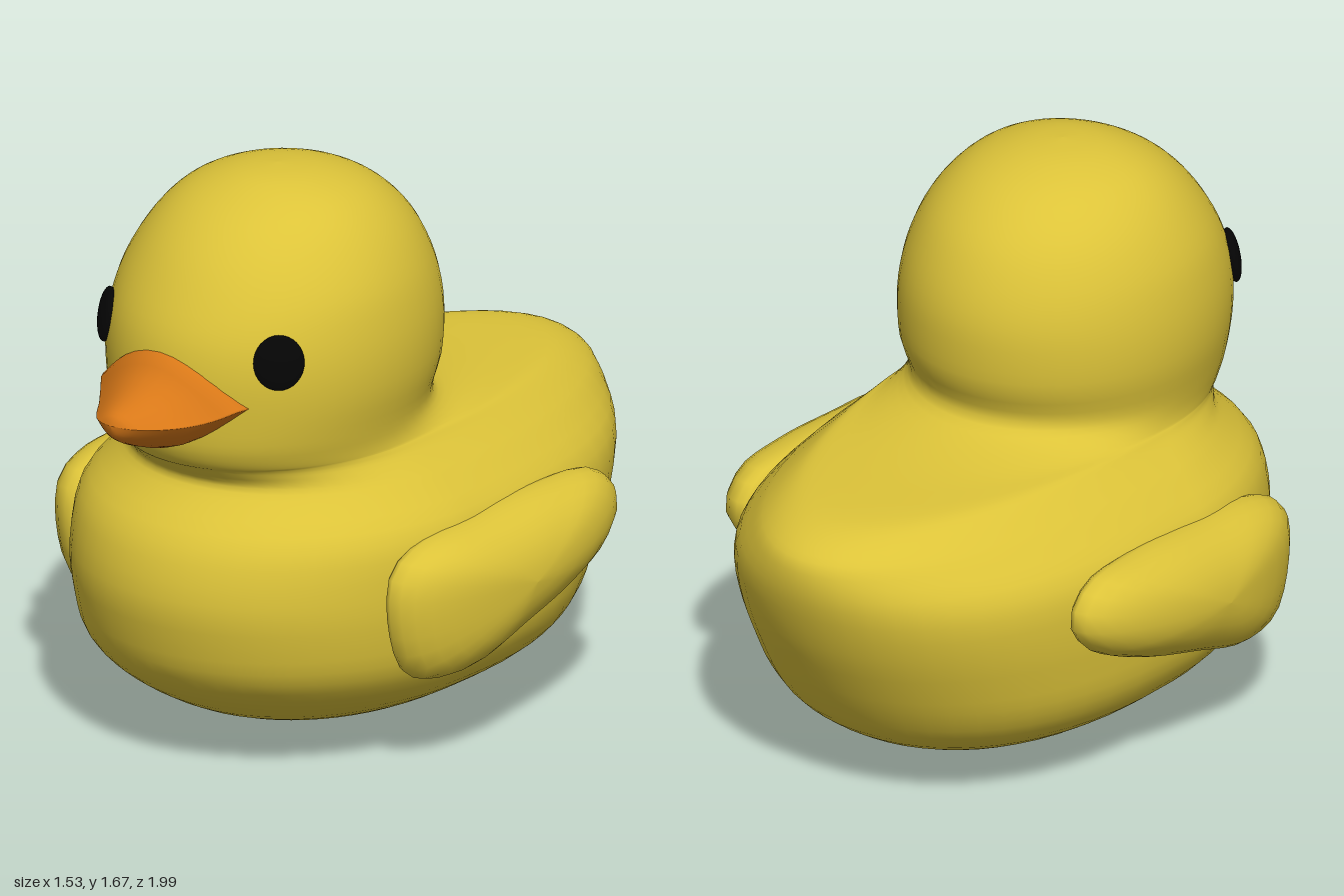
import * as THREE from 'three';

const yellow = new THREE.MeshStandardMaterial({ color: 0xdcc339 });
const orange = new THREE.MeshStandardMaterial({ color: 0xd87818 });
const black = new THREE.MeshStandardMaterial({ color: 0x050505 });

// Skin a list of closed rings; the first and last rings shrink to a point.
function loft(rings, flip = false) {
  const n = rings[0].length;
  const index = [];
  for (let r = 0; r < rings.length - 1; r++) {
    for (let i = 0; i < n; i++) {
      const a = r * n + i, b = r * n + (i + 1) % n, c = a + n, d = b + n;
      if (flip) index.push(a, c, b, b, c, d);
      else index.push(a, b, c, b, d, c);
    }
  }
  const geometry = new THREE.BufferGeometry();
  geometry.setAttribute('position', new THREE.Float32BufferAttribute(rings.flat(2), 3));
  geometry.setIndex(index);
  geometry.computeVertexNormals();
  return geometry;
}

function add(group, name, geometry, material) {
  const mesh = new THREE.Mesh(geometry, material);
  mesh.name = name;
  group.add(mesh);
  return mesh;
}

// Smoothly resample a table of rows, column by column.
function resample(rows, steps) {
  const out = [];
  const at = i => rows[THREE.MathUtils.clamp(i, 0, rows.length - 1)];
  for (let i = 0; i < rows.length - 1; i++) {
    for (let s = 0; s < steps; s++) {
      const t = s / steps;
      out.push(rows[i].map((_, k) => {
        const [p, a, b, q] = [at(i - 1)[k], at(i)[k], at(i + 1)[k], at(i + 2)[k]];
        const m0 = (b - p) / 2, m1 = (q - a) / 2;
        return a + m0 * t + (3 * (b - a) - 2 * m0 - m1) * t * t + (2 * (a - b) + m0 + m1) * t ** 3;
      }));
    }
  }
  out.push(rows[rows.length - 1]);
  return out;
}

// Body and head in one skin: height, half width, front z, back z, z of the widest point
function bodyGeometry() {
  const rows = [
    [0.005, 0, -0.02, -0.02, -0.02],
    [0.015, 0.11, 0.16, -0.18, 0],
    [0.05, 0.25, 0.36, -0.36, 0.02],
    [0.11, 0.39, 0.55, -0.57, 0.04],
    [0.20, 0.53, 0.71, -0.72, 0.07],
    [0.30, 0.60, 0.81, -0.80, 0.10],
    [0.42, 0.62, 0.85, -0.87, 0.12],
    [0.55, 0.625, 0.865, -0.935, 0.12],
    [0.70, 0.61, 0.82, -0.985, 0.12],
    [0.80, 0.53, 0.72, -0.99, 0.13],
    [0.85, 0.48, 0.68, -0.96, 0.15],
    [0.89, 0.44, 0.715, -0.88, 0.17],
    [0.91, 0.425, 0.735, -0.76, 0.20],
    [0.92, 0.42, 0.75, -0.48, 0.22],
    [0.95, 0.418, 0.77, -0.28, 0.25],
    [1.00, 0.425, 0.785, -0.20, 0.27],
    [1.10, 0.445, 0.79, -0.235, 0.27],
    [1.20, 0.45, 0.79, -0.245, 0.27],
    [1.30, 0.44, 0.77, -0.24, 0.27],
    [1.40, 0.415, 0.72, -0.21, 0.27],
    [1.50, 0.365, 0.65, -0.155, 0.26],
    [1.58, 0.30, 0.565, -0.075, 0.26],
    [1.635, 0.22, 0.47, 0.02, 0.26],
    [1.67, 0.11, 0.37, 0.14, 0.26],
    [1.68, 0, 0.26, 0.26, 0.26],
  ];
  const n = 56;
  const rings = resample(rows, 3).map(([y, w, front, back, mid]) => {
    // the lower body is fuller towards the tail
    const power = 0.8 + 0.2 * THREE.MathUtils.smoothstep(y, 0.6, 0.9);
    return Array.from({ length: n }, (_, i) => {
      const a = i / n * Math.PI * 2;
      const c = Math.cos(a), s = Math.sin(a);
      const z = c >= 0 ? mid + (front - mid) * c : mid - (mid - back) * Math.pow(-c, power);
      return [w * s, y, z];
    });
  });
  return loft(rings);
}

// Wing: a side outline in (z, y) swollen into a flattened pod
function wingGeometry(side) {
  const outline = new THREE.CatmullRomCurve3([
    [0.48, 0.50], [0.465, 0.63], [0.36, 0.69], [0.1, 0.715], [-0.2, 0.73], [-0.42, 0.705],
    [-0.49, 0.62], [-0.43, 0.52], [-0.25, 0.425], [0, 0.345], [0.25, 0.28], [0.41, 0.32],
  ].map(([z, y]) => new THREE.Vector3(0, y, z)), true).getSpacedPoints(40).slice(0, 40);
  const cy = 0.53, cz = 0.03, rings = [];
  for (let k = 0; k <= 16; k++) {
    const a = k / 16 * Math.PI;
    const r = Math.sin(a), c = Math.cos(a);
    const x = 0.595 + (c > 0 ? 0.17 : 0.1) * c;
    rings.push(outline.map(p => [side * x, cy + (p.y - cy) * r, cz + (p.z - cz) * r]));
  }
  return loft(rings, side < 0);
}

// Bill: z, half width, top and bottom of pinched diamond sections
function billGeometry() {
  const rows = [
    [0.70, 0, 1.12, 1.12],
    [0.71, 0.23, 1.24, 1.0],
    [0.785, 0.25, 1.255, 0.98],
    [0.83, 0.21, 1.205, 0.985],
    [0.88, 0.16, 1.165, 1.0],
    [0.94, 0.11, 1.14, 1.025],
    [0.985, 0.06, 1.12, 1.055],
    [1.0, 0, 1.09, 1.09],
  ];
  const n = 32;
  const rings = resample(rows, 3).map(([z, w, top, bottom]) => {
    const mid = Math.min(1.12, (top + bottom) / 2 + 0.005);
    return Array.from({ length: n }, (_, i) => {
      const a = i / n * Math.PI * 2;
      const s = Math.sin(a), x = w * Math.cos(a);
      const h = s > 0 ? top - mid : mid - bottom;
      return [x, mid + h * Math.sign(s) * Math.pow(Math.abs(s), 2.2), z - 0.9 * x * x];
    });
  });
  return loft(rings);
}

export function createModel() {
  const duck = new THREE.Group();
  duck.name = 'duck';
  add(duck, 'bodyAndHead', bodyGeometry(), yellow);
  add(duck, 'bill', billGeometry(), orange);

  for (const side of [1, -1]) {
    const label = side > 0 ? 'left' : 'right';
    add(duck, label + 'Wing', wingGeometry(side), yellow);
    // flattened eye lying on the side of the face
    const eye = add(duck, label + 'Eye', new THREE.SphereGeometry(1, 24, 16), black);
    eye.scale.set(0.073, 0.08, 0.025);
    eye.rotation.set(-0.15, side * 0.8, 0, 'YXZ');
    eye.position.set(side * 0.315, 1.255, 0.635);
  }
  return duck;
}
